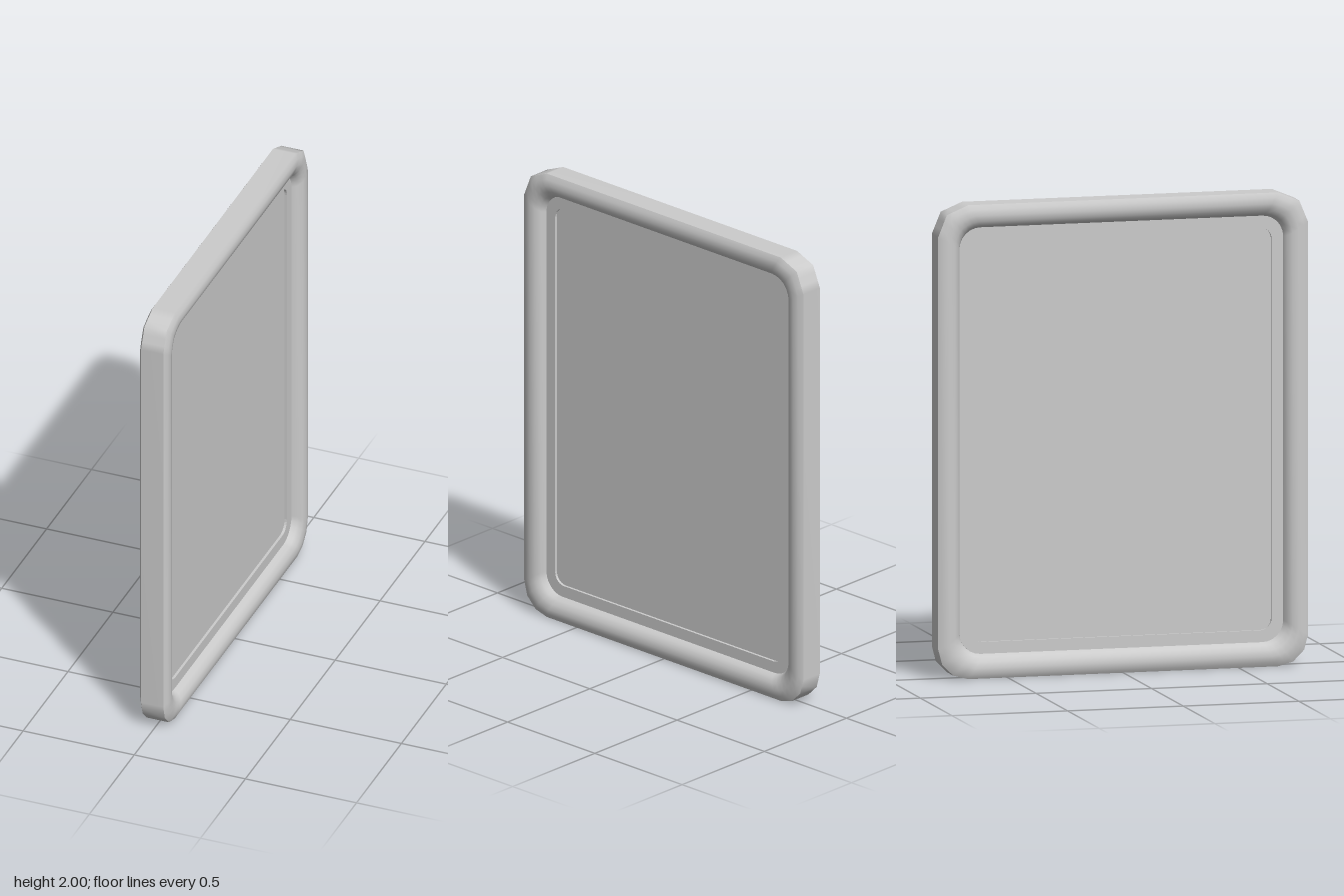
import * as THREE from 'three';

const W = 0.8, H = 2, STEPS = 6;

// Rounded-rectangle outline, counter-clockwise. "coarse" blends the corner arcs
// towards a few straight facets (3 at the bottom corners, 2 at the top ones).
function outline(inset, radius, coarse = 0) {
  const points = [];
  const corners = [[1, 0, 3], [1, 1, 2], [-1, 1, 2], [-1, 0, 3]];
  corners.forEach(([side, top, facets], c) => {
    const cx = side * (W - inset - radius);
    const cy = top ? H - inset - radius : inset + radius;
    const at = (t) => {
      const a = (c - 1 + t) * Math.PI / 2;
      return new THREE.Vector2(cx + radius * Math.cos(a), cy + radius * Math.sin(a));
    };
    for (let i = 0; i <= STEPS; i++) {
      const t = i / STEPS, f = Math.min(Math.floor(t * facets + 1e-6), facets - 1);
      const chord = at(f / facets).lerp(at((f + 1) / facets), t * facets - f);
      points.push(at(t).lerp(chord, coarse));
    }
  });
  return points;
}

// Smooth skin through a series of closed loops given as [inset, depth]
function loft(profile) {
  const positions = [], index = [];
  let n = 0;
  for (const [inset, depth] of profile) {
    const t = inset / 0.1;
    const loop = outline(inset, 0.13 - 0.04 * t, 1 - t);
    n = loop.length;
    loop.forEach((p) => positions.push(p.x, p.y, depth));
  }
  for (let r = 0; r < profile.length - 1; r++) {
    for (let i = 0; i < n; i++) {
      const j = (i + 1) % n, a = r * n, b = a + n;
      index.push(a + i, a + j, b + j, a + i, b + j, b + i);
    }
  }
  const geometry = new THREE.BufferGeometry();
  geometry.setAttribute('position', new THREE.Float32BufferAttribute(positions, 3));
  geometry.setIndex(index);
  geometry.computeVertexNormals();
  return geometry;
}

// Flat slab centred on depth 0
function slab(shape, thickness) {
  return new THREE.ExtrudeGeometry(shape, { depth: thickness, bevelEnabled: false })
    .translate(0, 0, -thickness / 2);
}

export function createModel() {
  const model = new THREE.Group();
  model.name = 'framedPanel';
  const material = new THREE.MeshStandardMaterial({ color: 0xcccccc });
  const add = (name, geometry) => {
    // the outline is drawn in x/y, then turned to face sideways
    const mesh = new THREE.Mesh(geometry.rotateY(Math.PI / 2), material);
    mesh.name = name;
    model.add(mesh);
  };

  // Rounded frame moulding on both faces, joined by the outer rim
  const moulding = [[0, 0.05], [0.02, 0.062], [0.045, 0.066], [0.07, 0.06], [0.09, 0.044], [0.1, 0.02]];
  add('frameLeftFace', loft(moulding));
  add('frameRightFace', loft(moulding.map(([inset, depth]) => [inset, -depth]).reverse()));
  add('frameRim', loft([[0, -0.05], [0, 0.05]]));

  // Flat lip inside the frame, with the panel set slightly deeper
  const panelOutline = outline(0.15, 0.05);
  const lip = new THREE.Shape(outline(0.1, 0.09));
  lip.holes.push(new THREE.Path(panelOutline));
  add('lip', slab(lip, 0.042));
  add('panel', slab(new THREE.Shape(panelOutline), 0.02));

  return model;
}
